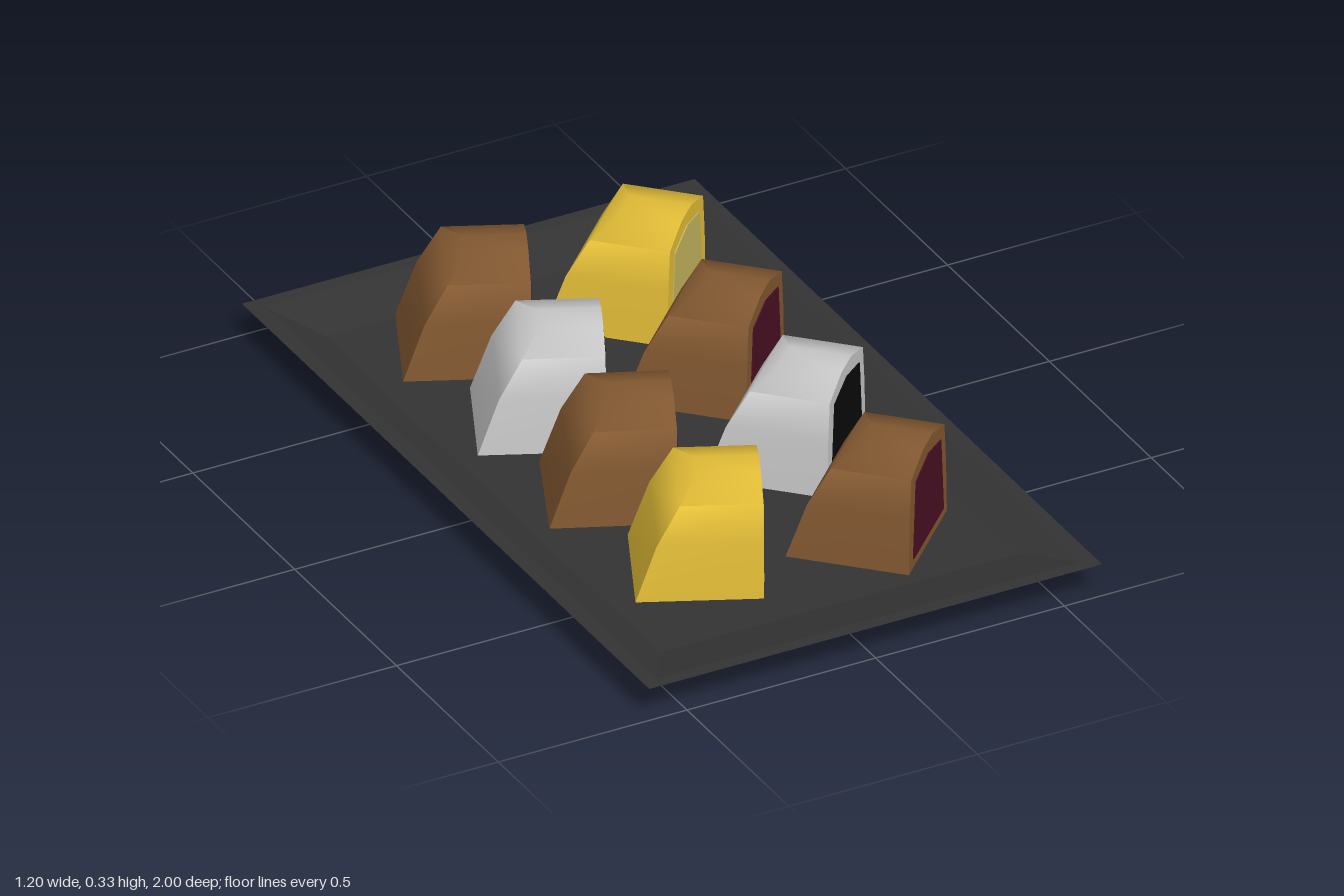
import * as THREE from 'three';
import { toCreasedNormals } from 'three/addons/utils/BufferGeometryUtils.js';

const mat = (color) => new THREE.MeshStandardMaterial({ color });

// Closed solid lofted through rectangles [xMin, xMax, halfDepth, y]
function loftRects(rings, crease) {
  const pos = [], index = [];
  for (const [x0, x1, z, y] of rings) pos.push(x0, y, -z, x0, y, z, x1, y, z, x1, y, -z);
  for (let i = 0; i < rings.length - 1; i++) {
    for (let j = 0; j < 4; j++) {
      const a = i * 4 + j, b = i * 4 + (j + 1) % 4;
      index.push(a, b, b + 4, a, b + 4, a + 4);
    }
  }
  const t = (rings.length - 1) * 4;
  index.push(0, 2, 1, 0, 3, 2, t, t + 1, t + 2, t, t + 2, t + 3);
  const geo = new THREE.BufferGeometry();
  geo.setAttribute('position', new THREE.Float32BufferAttribute(pos, 3));
  geo.setIndex(index);
  return toCreasedNormals(geo, crease);
}

const CUT = 0.15; // local x of the cut face

// Coating: upright at the cut face, sloping in at the back
const coatGeo = loftRects([
  [-0.15, CUT, 0.155, 0.055],
  [-0.1, CUT, 0.148, 0.2],
  [-0.045, CUT, 0.135, 0.3],
  [0, CUT, 0.04, 0.33],
], 1.3);

// Filling: thin five-sided panel on the cut face
const fillingShape = new THREE.Shape([
  [-0.122, 0.08], [0.122, 0.08], [0.1, 0.278], [0, 0.298], [-0.1, 0.278],
].map(([x, y]) => new THREE.Vector2(x, y)));
const fillingGeo = new THREE.ExtrudeGeometry(fillingShape, { depth: 0.008, bevelEnabled: false });
fillingGeo.rotateY(Math.PI / 2).translate(CUT - 0.005, 0, 0);

const flavours = {
  brown: [mat(0x855a32), mat(0x4a1022)],
  yellow: [mat(0xe6c038), mat(0xc8b860)],
  plain: [mat(0xcccccc), mat(0x0a0a0a)],
};

function createSweet(flavour, x, z, degrees) {
  const sweet = new THREE.Group();
  sweet.name = flavour + 'Sweet';
  ['coating', 'filling'].forEach((name, i) => {
    const mesh = new THREE.Mesh(i ? fillingGeo : coatGeo, flavours[flavour][i]);
    mesh.name = name;
    sweet.add(mesh);
  });
  sweet.position.set(x, 0, z);
  sweet.rotation.y = -THREE.MathUtils.degToRad(degrees);
  return sweet;
}

export function createModel() {
  const model = new THREE.Group();
  model.name = 'trayOfSweets';

  // Tray: foot, flared wall, flat rim, sloped inside and floor
  const tray = new THREE.Mesh(loftRects([
    [-0.5, 0.5, 0.845, 0],
    [-0.5, 0.5, 0.845, 0.035],
    [-0.6, 0.6, 1, 0.085],
    [-0.56, 0.56, 0.965, 0.085],
    [-0.475, 0.475, 0.82, 0.055],
  ], 0.05), mat(0x333333));
  tray.name = 'tray';
  model.add(tray);

  // Two columns of cut sweets
  for (const [flavour, x, z, degrees] of [
    ['brown', -0.213, -0.63, 25], ['plain', -0.22, -0.25, 25],
    ['brown', -0.233, 0.12, 24], ['yellow', -0.215, 0.515, 25],
    ['yellow', 0.207, -0.615, 45], ['brown', 0.205, -0.225, 45],
    ['plain', 0.207, 0.17, 45], ['brown', 0.207, 0.57, 45],
  ]) model.add(createSweet(flavour, x, z, degrees));

  return model;
}
